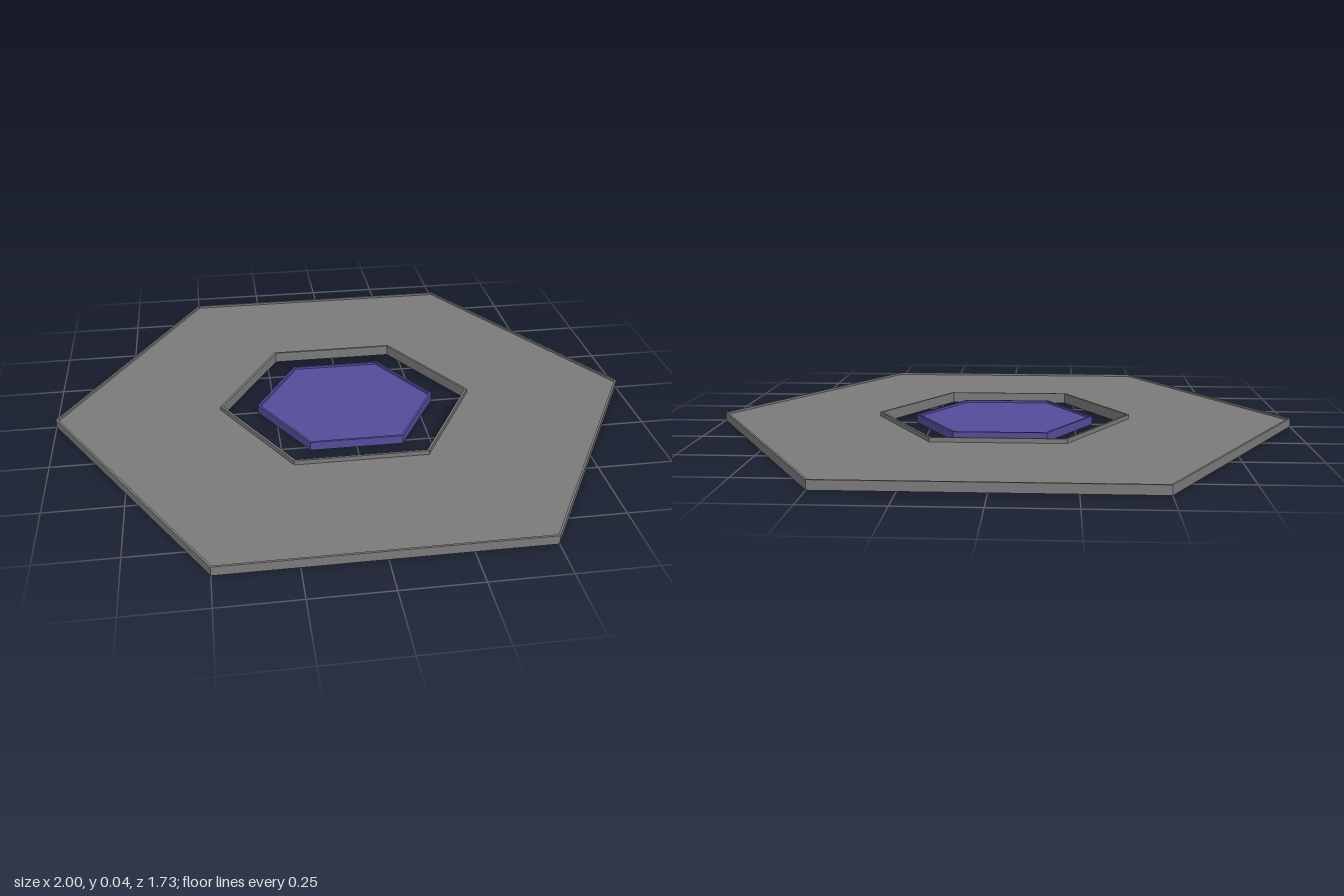
import * as THREE from 'three';

// Regular hexagon with corners on the x axis
function hexPoints(radius) {
  return Array.from({ length: 6 }, (_, i) => {
    const a = (i * Math.PI) / 3;
    return new THREE.Vector2(radius * Math.cos(a), radius * Math.sin(a));
  });
}

// Upright hexagonal slab standing on y = 0, with an optional hexagonal hole
function hexSlab(name, material, radius, height, holeRadius = 0) {
  const shape = new THREE.Shape(hexPoints(radius));
  if (holeRadius > 0) shape.holes.push(new THREE.Path(hexPoints(holeRadius).reverse()));
  const geometry = new THREE.ExtrudeGeometry(shape, { depth: height, bevelEnabled: false });
  geometry.rotateX(-Math.PI / 2);
  const mesh = new THREE.Mesh(geometry, material);
  mesh.name = name;
  return mesh;
}

export function createModel() {
  const darkGrey = new THREE.MeshStandardMaterial({ color: 0x7b7b7b, flatShading: true });
  const purple = new THREE.MeshStandardMaterial({ color: 0x544d9b, flatShading: true });

  const model = new THREE.Group();
  model.name = 'hexagonTile';
  model.add(
    hexSlab('basePlate', darkGrey, 0.992, 0.022, 0.44), // recessed plate with central opening
    hexSlab('outerRim', darkGrey, 1, 0.03, 0.992), // thin lip around the plate
    hexSlab('openingRim', darkGrey, 0.44, 0.037, 0.431), // taller lip around the opening
    hexSlab('centreInlay', purple, 0.301, 0.022), // free-standing centre piece
    hexSlab('inlayRim', purple, 0.31, 0.03, 0.301), // thin lip around the centre piece
  );
  return model;
}
